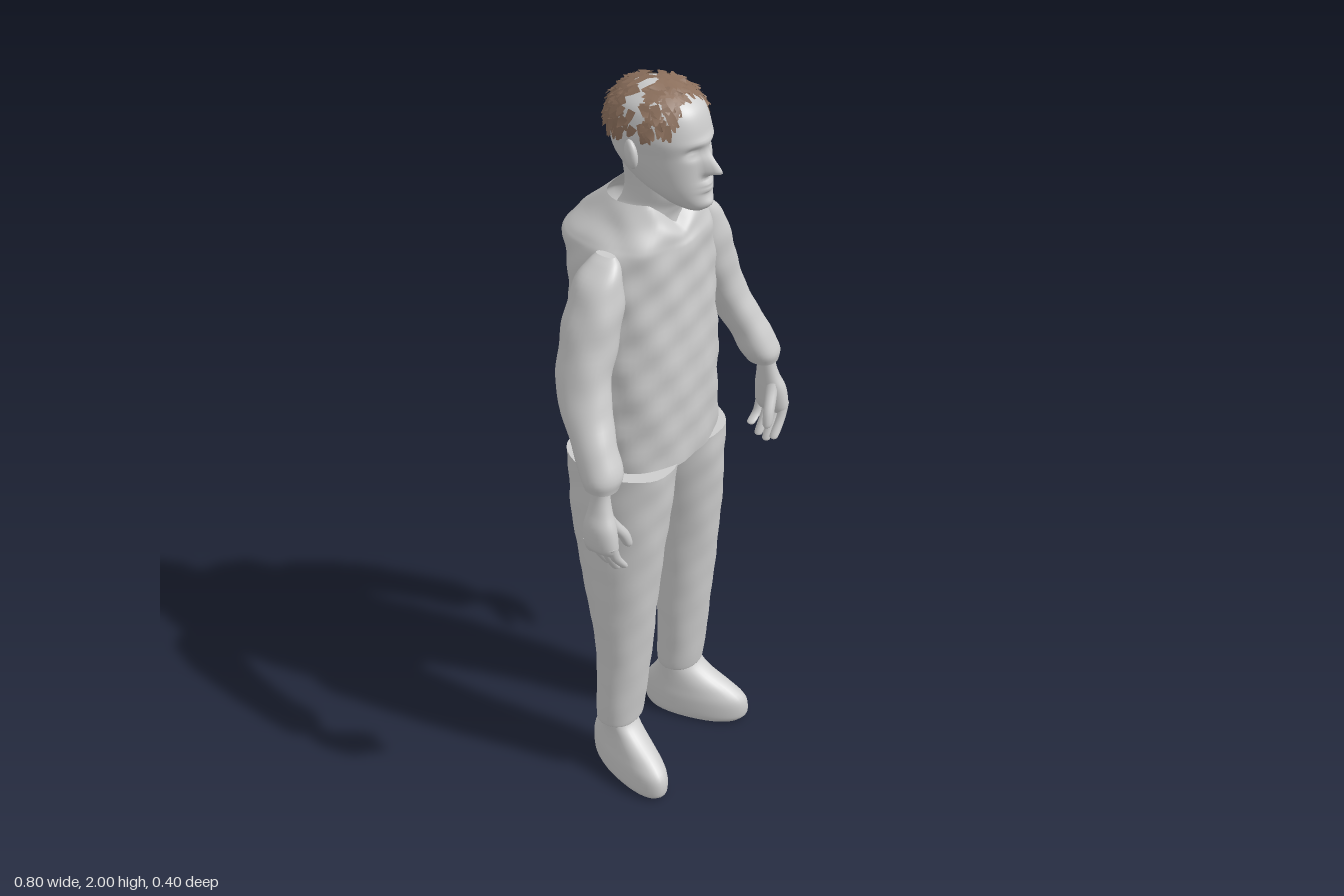
import * as THREE from 'three';

const body = new THREE.MeshStandardMaterial({ color: 0xcccccc, side: THREE.DoubleSide });
body.name = 'plain grey';
const brown = new THREE.MeshStandardMaterial({ color: 0x8b6f5c, side: THREE.DoubleSide });
brown.name = 'hair brown';

const gauss = (d, s) => Math.exp(-(d * d) / (s * s));
const spow = (v, p) => Math.sign(v) * Math.pow(Math.abs(v), p);

// Smooth skin over horizontal rings given as [y, x0, x1, z0, z1], lowest first.
// side -1 mirrors it; power above 2 squares the rings; rule moves each vertex.
function loft(name, rings, { side = 1, rows = 24, segs = 28, power = 2.2, capTop = true, rule } = {}) {
  const mid = [], size = [];
  for (const [y, x0, x1, z0, z1] of rings) {
    mid.push(new THREE.Vector3(side * (x0 + x1) / 2, y, (z0 + z1) / 2));
    size.push(new THREE.Vector3((x1 - x0) / 2, 0, (z1 - z0) / 2));
  }
  const midCurve = new THREE.CatmullRomCurve3(mid, false, 'catmullrom', 0.5);
  const sizeCurve = new THREE.CatmullRomCurve3(size, false, 'catmullrom', 0.5);
  // Closing rings repeat the end ring, then shrink it to a point
  const list = [[0, 0], [0, 1]];
  for (let i = 0; i <= rows; i++) list.push([i / rows, 1]);
  if (capTop) list.push([1, 1], [1, 0]);
  const pos = [], index = [];
  list.forEach(([u, k], i) => {
    const c = midCurve.getPoint(u), s = sizeCurve.getPoint(u);
    for (let j = 0; j < segs; j++) {
      const a = (j / segs) * Math.PI * 2;
      const v = new THREE.Vector3(
        c.x + k * s.x * spow(Math.sin(a), 2 / power), c.y,
        c.z + k * s.z * spow(Math.cos(a), 2 / power));
      if (rule) rule(v, c);
      pos.push(v.x, v.y, v.z);
      if (i < list.length - 1) {
        const p = i * segs + j, q = i * segs + (j + 1) % segs;
        index.push(p, q, q + segs, p, q + segs, p + segs);
      }
    }
  });
  const g = new THREE.BufferGeometry();
  g.setAttribute('position', new THREE.Float32BufferAttribute(pos, 3));
  g.setIndex(index);
  g.computeVertexNormals();
  const mesh = new THREE.Mesh(g, body);
  mesh.name = name;
  return mesh;
}

// Soft cloth creases
const crease = (amount) => (v, c) => {
  const w = Math.sin(v.y * 47 + v.x * 23 + Math.sin(v.z * 31)) * Math.sin(v.x * 37 - v.y * 19 + v.z * 29);
  v.x += (v.x - c.x) * w * amount;
  v.z += (v.z - c.z) * w * amount;
};

function makeTorso() {
  const folds = crease(0.025);
  return loft('shirt', [
    [1.0, -0.18, 0.205, -0.16, 0.135], [1.2, -0.182, 0.205, -0.168, 0.135],
    [1.4, -0.18, 0.205, -0.178, 0.125], [1.52, -0.177, 0.202, -0.188, 0.118],
    [1.59, -0.172, 0.195, -0.2, 0.116], [1.62, -0.158, 0.177, -0.185, 0.112],
    [1.66, -0.125, 0.138, -0.145, 0.1], [1.71, -0.095, 0.098, -0.09, 0.072],
  ], {
    rows: 60, segs: 64, power: 2.4, capTop: false,
    rule: (v, c) => {
      folds(v, c);
      // V neckline
      if (v.y > 1.6 && v.z > c.z) v.y = 1.6 + (v.y - 1.6) * (1 - 0.62 * Math.max(0, 1 - Math.abs(v.x) / 0.075));
    },
  });
}

function makeHead() {
  const head = new THREE.Group();
  head.name = 'head';
  head.add(loft('neck', [
    [1.6, -0.075, 0.085, -0.08, 0.08], [1.655, -0.08, 0.09, -0.08, 0.075], [1.69, -0.06, 0.068, -0.066, 0.085],
    [1.73, -0.056, 0.066, -0.062, 0.1], [1.8, -0.058, 0.068, -0.07, 0.08],
  ]));
  head.add(loft('face', [
    [1.7, -0.02, 0.03, 0.08, 0.152], [1.715, -0.038, 0.048, 0.04, 0.165],
    [1.75, -0.06, 0.07, -0.03, 0.163], [1.8, -0.075, 0.085, -0.08, 0.158],
    [1.84, -0.082, 0.092, -0.098, 0.156], [1.885, -0.088, 0.098, -0.103, 0.154],
    [1.94, -0.077, 0.087, -0.09, 0.136], [1.97, -0.052, 0.062, -0.055, 0.1],
    [1.985, -0.026, 0.036, -0.02, 0.062], [1.99, 0, 0.01, 0.015, 0.025],
  ], {
    rows: 80, segs: 72,
    rule: (v, c) => {
      if (v.z < c.z + 0.02) return;
      const x = v.x - 0.005, y = v.y;
      const nose = gauss(y - 1.806, y > 1.806 ? 0.034 : 0.011);
      v.z += 0.044 * nose * gauss(x, 0.013)
        - 0.014 * gauss(Math.abs(x) - 0.034, 0.018) * gauss(y - 1.853, 0.013)
        + 0.006 * gauss(Math.abs(x) - 0.034, 0.01) * gauss(y - 1.85, 0.006)
        + 0.005 * gauss(x, 0.05) * gauss(y - 1.876, 0.01)
        + 0.01 * gauss(x, 0.022) * (gauss(y - 1.772, 0.006) + gauss(y - 1.758, 0.006))
        + 0.007 * gauss(x, 0.02) * gauss(y - 1.722, 0.012);
    },
  }));
  for (const s of [-1, 1]) {
    const ear = new THREE.Mesh(new THREE.SphereGeometry(1, 16, 12), body);
    ear.name = 'ear';
    ear.scale.set(0.013, 0.036, 0.022);
    ear.position.set(0.005 + s * 0.097, 1.84, 0.015);
    ear.rotation.set(-0.15, s * 0.45, 0);
    head.add(ear);
  }
  return head;
}

// Ragged locks laid over the skull, sparse across the crown
function makeHair() {
  let seed = 11;
  const rand = () => (seed = (seed * 16807) % 2147483647) / 2147483647;
  const radii = new THREE.Vector3(0.1, 0.108, 0.128);
  const pos = [], index = [];
  for (let n = 0; n < 900; n++) {
    const e = Math.asin(rand() * 1.45 - 0.45), az = (rand() * 2 - 1) * Math.PI, far = Math.abs(az);
    const line = far < 0.95 ? 0.85 - 0.9 * (far / 0.95) ** 2 : -0.05 - 0.3 * (far - 0.95) / 2.2;
    const d = new THREE.Vector3(Math.sin(az) * Math.cos(e), Math.sin(e), Math.cos(az) * Math.cos(e));
    const bald = d.z > -0.42 && d.z < 0.12;
    const skip = rand();
    if (e < line + 0.12 || (bald && skip < 0.78)) continue;
    // Each lock is a tapering strip of two quads
    const t = new THREE.Vector3(rand() - 0.5, -0.8, rand() - 0.5).projectOnPlane(d).normalize();
    const s = t.clone().cross(d);
    const len = 0.2 + 0.2 * rand(), lift = 1.0 + 0.055 * rand(), base = pos.length / 3;
    [[-0.5, 0.09], [0.1, 0.08], [0.6, 0.02]].forEach(([a, w], i) => {
      for (const b of [-w, w]) {
        const p = d.clone().addScaledVector(t, a * len).addScaledVector(s, b).normalize()
          .multiply(radii).multiplyScalar(lift + 0.02 * i * i * rand());
        pos.push(p.x + 0.006, Math.min(p.y + 1.886, 2), p.z + 0.022);
      }
      if (i < 2) {
        const k = base + i * 2;
        index.push(k, k + 2, k + 3, k, k + 3, k + 1);
      }
    });
  }
  const g = new THREE.BufferGeometry();
  g.setAttribute('position', new THREE.Float32BufferAttribute(pos, 3));
  g.setIndex(index);
  g.computeVertexNormals();
  const hair = new THREE.Mesh(g, brown);
  hair.name = 'hair';
  return hair;
}

function makeArm(side) {
  const arm = new THREE.Group();
  arm.name = side > 0 ? 'leftArm' : 'rightArm';
  arm.add(loft('sleeve', [
    [1.095, 0.305, 0.383, 0.068, 0.15], [1.13, 0.287, 0.388, 0.05, 0.155], [1.19, 0.275, 0.375, 0.02, 0.13],
    [1.26, 0.25, 0.354, -0.03, 0.1], [1.33, 0.22, 0.335, -0.058, 0.078], [1.42, 0.175, 0.308, -0.068, 0.072],
    [1.5, 0.155, 0.28, -0.066, 0.07], [1.56, 0.155, 0.25, -0.055, 0.058], [1.595, 0.157, 0.212, -0.038, 0.045],
    [1.612, 0.163, 0.185, -0.025, 0.028],
  ], { side, rows: 40, segs: 32, rule: crease(0.03) }));
  arm.add(loft('palm', [
    [0.93, 0.352, 0.388, 0.085, 0.168], [0.95, 0.345, 0.398, 0.077, 0.173], [1.0, 0.34, 0.398, 0.078, 0.165],
    [1.04, 0.338, 0.385, 0.085, 0.148], [1.08, 0.336, 0.376, 0.09, 0.138], [1.12, 0.335, 0.375, 0.09, 0.138],
  ], { side }));
  // Four fingers curling inward
  [0.09, 0.114, 0.138, 0.161].forEach((z, i) => {
    const tip = [0.885, 0.862, 0.855, 0.868][i], r = 0.012;
    arm.add(loft('finger', [
      [tip, 0.326, 0.334, z - 0.004, z + 0.004], [tip + 0.008, 0.322, 0.343, z - r, z + r],
      [0.915, 0.348, 0.374, z - r, z + r], [0.955, 0.36, 0.39, z - r, z + r],
    ], { side, rows: 12, segs: 12, power: 2 }));
  });
  arm.add(loft('thumb', [
    [0.915, 0.298, 0.308, 0.15, 0.16], [0.925, 0.294, 0.318, 0.143, 0.168],
    [0.96, 0.303, 0.335, 0.137, 0.165], [1.0, 0.328, 0.362, 0.125, 0.155], [1.025, 0.342, 0.37, 0.12, 0.15],
  ], { side, rows: 14, segs: 12, power: 2 }));
  return arm;
}

function makeLeg(side) {
  const leg = new THREE.Group();
  leg.name = side > 0 ? 'leftLeg' : 'rightLeg';
  leg.add(loft('trouserLeg', [
    [0.178, 0.08, 0.203, -0.046, 0.056], [0.2, 0.07, 0.21, -0.052, 0.063], [0.4, 0.058, 0.212, -0.052, 0.085],
    [0.6, 0.048, 0.22, -0.085, 0.105], [0.8, 0.025, 0.221, -0.13, 0.125],
    [0.93, 0.004, 0.216, -0.148, 0.135], [1.005, -0.002, 0.216, -0.153, 0.138],
  ], { side, rows: 44, segs: 36, rule: crease(0.015) }));
  // Shoe, toes sheared outward
  leg.add(loft('shoe', [
    [0, 0.092, 0.193, -0.075, 0.175], [0.02, 0.086, 0.199, -0.088, 0.19], [0.065, 0.085, 0.198, -0.092, 0.186],
    [0.1, 0.088, 0.192, -0.086, 0.15], [0.14, 0.09, 0.188, -0.062, 0.088],
    [0.175, 0.09, 0.19, -0.046, 0.052], [0.21, 0.09, 0.19, -0.044, 0.05],
  ], { side, rows: 28, segs: 32, rule: (v) => { v.x += side * 0.27 * v.z; } }));
  return leg;
}

export function createModel() {
  const model = new THREE.Group();
  model.name = 'standingFigure';
  model.add(makeTorso(), makeHead(), makeHair());
  for (const side of [1, -1]) model.add(makeArm(side), makeLeg(side));
  return model;
}
